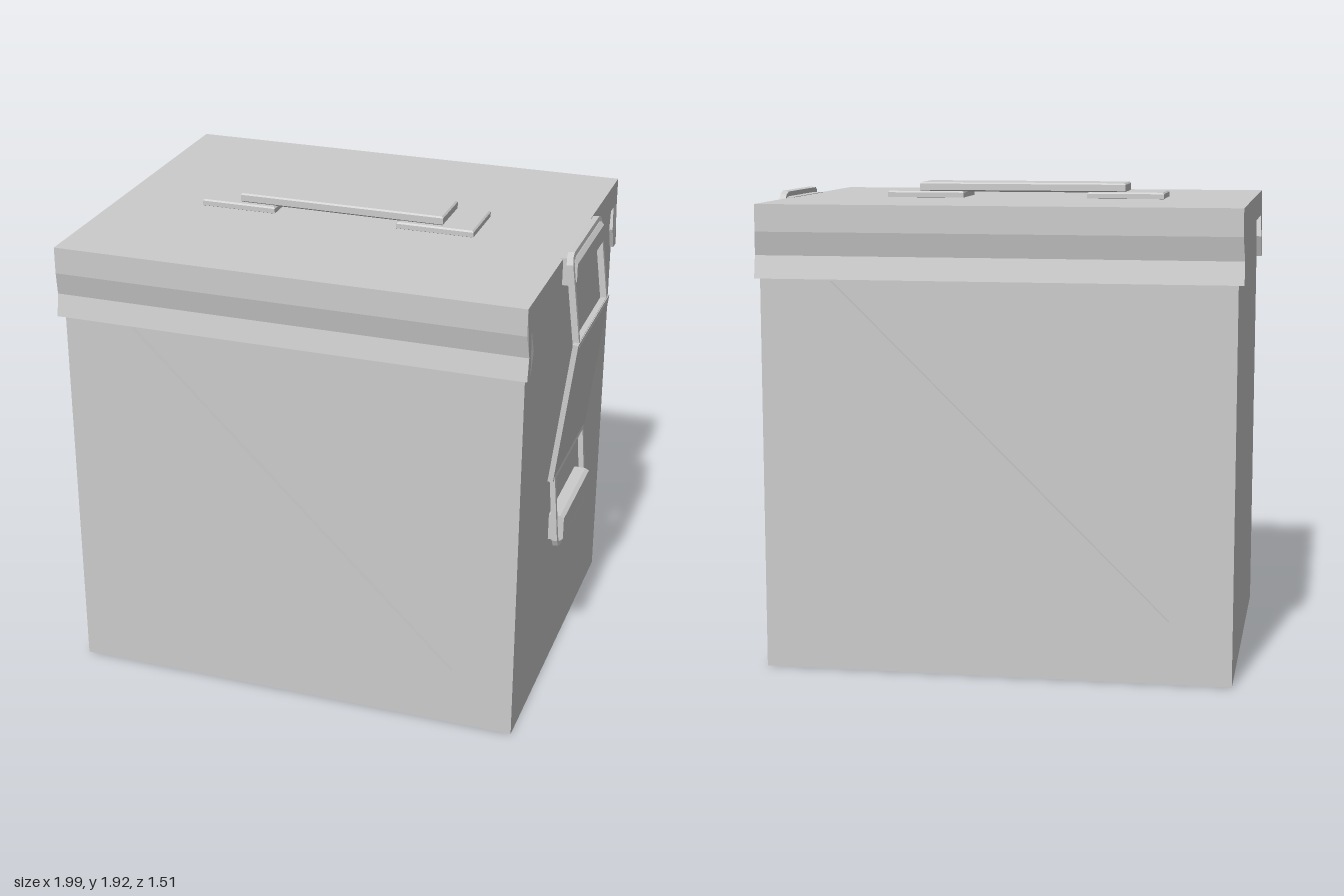
import * as THREE from 'three';

const material = new THREE.MeshStandardMaterial({ color: 0xcccccc, flatShading: true });
const CX = -0.036; // middle of the box along x

function shapeOf(points) {
  return new THREE.Shape(points.map(([a, b]) => new THREE.Vector2(a, b)));
}

function add(parent, name, geometry, x = 0, y = 0, z = 0) {
  const mesh = new THREE.Mesh(geometry, material);
  mesh.name = name;
  mesh.position.set(x, y, z);
  parent.add(mesh);
  return mesh;
}

// Box given by its extents
function block(parent, name, [x0, x1], [y0, y1], [z0, z1]) {
  const geometry = new THREE.BoxGeometry(x1 - x0, y1 - y0, z1 - z0);
  return add(parent, name, geometry, (x0 + x1) / 2, (y0 + y1) / 2, (z0 + z1) / 2);
}

// Flat slab with small chamfers on its upper edges
function plate(parent, name, [x0, x1], [y0, y1], [z0, z1]) {
  const b = 0.006, w = (x1 - x0) / 2 - b, d = (z1 - z0) / 2 - b;
  const geometry = new THREE.ExtrudeGeometry(shapeOf([[-w, -d], [w, -d], [w, d], [-w, d]]), {
    depth: y1 - y0 - 2 * b, bevelThickness: b, bevelSize: b, bevelSegments: 1,
  });
  geometry.rotateX(-Math.PI / 2);
  return add(parent, name, geometry, (x0 + x1) / 2, y0 + b, (z0 + z1) / 2);
}

// Rectangle with its far corners cut off, lying between v = 0 and v = length
function endedLoop(half, length, cut) {
  return [
    [-half, 0], [half, 0], [half, length - cut], [half - cut * 0.3, length - cut * 0.3],
    [half - cut, length], [cut - half, length], [cut * 0.3 - half, length - cut * 0.3],
    [-half, length - cut],
  ];
}

// Flat latch piece running from one point of the side view to another
function latchPiece(parent, name, from, to, half, thickness, isLoop) {
  const dx = to[0] - from[0], dy = to[1] - from[1], length = Math.hypot(dx, dy);
  const shape = shapeOf(endedLoop(half, length, isLoop ? 0.04 : 0.001));
  if (isLoop) {
    const wire = 0.02;
    const inner = endedLoop(half - wire, length - 2 * wire, 0.03).map(([u, v]) => [u, v + wire]);
    shape.holes.push(new THREE.Path(inner.map(([u, v]) => new THREE.Vector2(u, v))));
  }
  const geometry = new THREE.ExtrudeGeometry(shape, { depth: thickness, bevelEnabled: false });
  geometry.translate(0, 0, -thickness / 2);
  geometry.rotateY(Math.PI / 2);
  const mesh = add(parent, name, geometry, from[0], from[1], 0);
  mesh.rotation.z = Math.atan2(-dx, dy);
}

// Block with an x-y profile, running along z
function hook(parent, name, profile, half) {
  const geometry = new THREE.ExtrudeGeometry(shapeOf(profile), { depth: 2 * half, bevelEnabled: false });
  add(parent, name, geometry, 0, 0, -half);
}

export function createModel() {
  const model = new THREE.Group();
  model.name = 'ammunitionBox';

  block(model, 'body', [-0.97, 0.898], [0, 1.8], [-0.723, 0.727]);

  // Lid: top slab with two kinked skirts along the long sides
  const side = [
    [0.755, 1.86], [0.755, 1.753], [0.736, 1.66], [0.753, 1.57],
    [0.705, 1.57], [0.67, 1.66], [0.69, 1.753],
  ];
  const outline = [...side, ...side.map(([z, y]) => [-z, y]).reverse()];
  const lidGeometry = new THREE.ExtrudeGeometry(shapeOf(outline), { depth: 1.894, bevelEnabled: false });
  lidGeometry.translate(0, 0, -0.947);
  lidGeometry.rotateY(Math.PI / 2);
  const p = lidGeometry.attributes.position;
  for (let i = 0; i < p.count; i++) {
    if (p.getY(i) < 1.7) p.setX(i, p.getX(i) + 0.006 * Math.sign(p.getX(i)));
  }
  lidGeometry.computeVertexNormals();
  add(model, 'lid', lidGeometry, -0.04);

  // Diagonal ribs, the back one turned half round
  for (const [name, turn, z] of [['frontRib', -1, 0.733], ['backRib', 1, -0.732]]) {
    const rib = add(model, name, new THREE.BoxGeometry(1.865, 0.06, 0.026), CX, 0.888, z);
    rib.rotation.z = turn * 0.776;
  }

  // Carrying handle on the lid
  const handle = new THREE.Group();
  handle.name = 'handle';
  plate(handle, 'leftHandlePad', [0.2, 0.52], [1.855, 1.886], [-0.13, 0.122]);
  plate(handle, 'rightHandlePad', [-0.63, -0.315], [1.855, 1.886], [-0.13, 0.122]);
  plate(handle, 'handleGrip', [-0.47, 0.388], [1.884, 1.922], [-0.106, 0.1]);
  model.add(handle);

  // Latch: two wire loops, the lever between them and the hooks they hold
  const latch = new THREE.Group();
  latch.name = 'latch';
  latchPiece(latch, 'latchLever', [0.908, 0.92], [0.983, 1.53], 0.275, 0.022, false);
  latchPiece(latch, 'upperLoop', [0.98, 1.51], [0.935, 1.885], 0.252, 0.026, true);
  latchPiece(latch, 'lowerLoop', [0.91, 0.94], [0.935, 0.602], 0.252, 0.022, true);
  hook(latch, 'upperHook', [
    [0.895, 1.752], [0.952, 1.752], [0.965, 1.775], [0.965, 1.845], [0.95, 1.862], [0.895, 1.862],
  ], 0.228);
  hook(latch, 'lowerHook', [
    [0.89, 0.63], [0.95, 0.63], [0.961, 0.645], [0.961, 0.735], [0.945, 0.745], [0.89, 0.745],
  ], 0.224);
  model.add(latch);

  return model;
}
